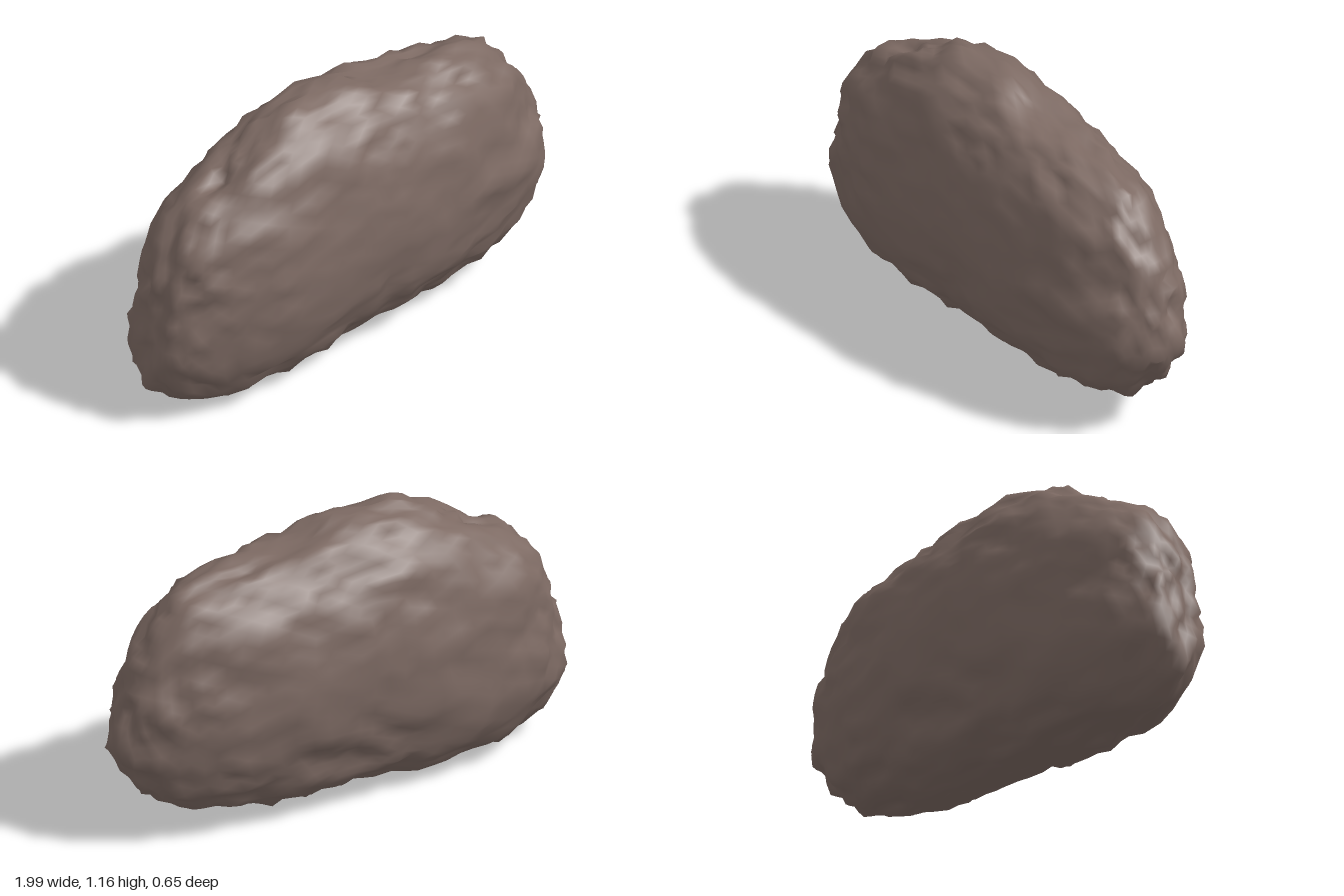
import * as THREE from 'three';
import { mergeVertices } from 'three/addons/utils/BufferGeometryUtils.js';

const CENTRE_Y = 0.57;
const HALF_DEPTH = 0.325;
const ASPECT = 0.58;

// Outline of the boulder in the x-y plane, anticlockwise from its left end
const OUTLINE = [
  [1, 0.42], [0.94, 0.6], [0.92, 0.75], [0.82, 0.89], [0.71, 1.02], [0.6, 1.06],
  [0.4, 1.07], [0.3, 1.1], [0.07, 1.12], [0, 1.175], [-0.2, 1.17], [-0.33, 1.165],
  [-0.5, 1.06], [-0.62, 0.96], [-0.75, 0.94], [-0.88, 0.8], [-0.93, 0.64], [-0.95, 0.5],
  [-0.97, 0.38], [-1, 0.24], [-0.93, 0.13], [-0.8, 0.06], [-0.66, 0.06], [-0.5, 0.01],
  [-0.3, 0.04], [-0.02, 0.06], [0.12, 0.04], [0.3, 0.06], [0.47, 0.06], [0.65, 0.1],
  [0.86, 0.19], [0.92, 0.28],
].map(([x, y]) => new THREE.Vector2(x, y - CENTRE_Y));

// Point where a ray from the centre meets the outline
function outlineAt(angle) {
  const dx = Math.cos(angle), dy = Math.sin(angle) * ASPECT;
  for (let i = 0; i < OUTLINE.length; i++) {
    const a = OUTLINE[i], b = OUTLINE[(i + 1) % OUTLINE.length];
    const ca = a.x * dy - a.y * dx, cb = b.x * dy - b.y * dx;
    if (ca >= 0 && cb <= 0 && ca !== cb && a.x * dx + a.y * dy > 0) {
      return a.clone().lerp(b, ca / (ca - cb));
    }
  }
  return OUTLINE[0].clone();
}

// The same outline with its local lumps averaged away
function softOutlineAt(angle) {
  const sum = new THREE.Vector2();
  for (let i = -3; i <= 3; i++) {
    const r = outlineAt(angle + i * 0.09);
    sum.x += Math.hypot(r.x, r.y / ASPECT) / 7;
  }
  return new THREE.Vector2(Math.cos(angle), Math.sin(angle) * ASPECT).multiplyScalar(sum.x);
}

// Smooth value noise on a seeded lattice, from -1 to 1
function hash(x, y, z) {
  const s = Math.sin(x * 127.1 + y * 311.7 + z * 74.7) * 43758.5453;
  return (s - Math.floor(s)) * 2 - 1;
}
function noise(x, y, z) {
  const ix = Math.floor(x), iy = Math.floor(y), iz = Math.floor(z);
  const fade = (t) => t * t * (3 - 2 * t);
  const u = fade(x - ix), v = fade(y - iy), w = fade(z - iz);
  let sum = 0;
  for (let i = 0; i < 8; i++) {
    const a = i & 1, b = (i >> 1) & 1, c = i >> 2;
    sum += hash(ix + a, iy + b, iz + c) * (a ? u : 1 - u) * (b ? v : 1 - v) * (c ? w : 1 - w);
  }
  return sum;
}

function boulderGeometry() {
  let geometry = new THREE.IcosahedronGeometry(1, 15);
  geometry.deleteAttribute('uv');
  geometry.deleteAttribute('normal');
  geometry = mergeVertices(geometry, 1e-4);
  const position = geometry.attributes.position;
  const d = new THREE.Vector3(), p = new THREE.Vector3(), n = new THREE.Vector3();

  for (let i = 0; i < position.count; i++) {
    d.fromBufferAttribute(position, i).normalize();
    const s = Math.hypot(d.x, d.y), side = Math.abs(d.z);
    const angle = Math.atan2(d.y, d.x), c = Math.cos(angle);
    // Blunt at the right end, rounder over the top, bottom and left end
    const power = 2.1 + c * c * (c < 0 ? 0.5 : 0.15);
    const k = Math.pow(Math.pow(s, power) + Math.pow(side, power), -1 / power);
    // Lumps of the outline fade away from the middle plane
    const edge = outlineAt(angle).lerp(softOutlineAt(angle), Math.min(1, side * 2.5));
    p.set(edge.x * s * k, edge.y * s * k, HALF_DEPTH * d.z * k);
    // Roughen along the approximate normal, more strongly around the rim
    n.set(p.x, p.y / 0.31, p.z / 0.11).normalize();
    const rough = 0.012 * noise(p.x * 4 + 9, p.y * 7, p.z * 7)
      + (0.012 + 0.018 * s * s) * noise(p.x * 15, p.y * 20 + 5, p.z * 20) - 0.007;
    p.addScaledVector(n, rough);
    position.setXYZ(i, p.x, p.y, p.z);
  }

  // Stand the boulder on the ground
  geometry.center();
  geometry.computeBoundingBox();
  geometry.translate(0, -geometry.boundingBox.min.y, 0);
  geometry.computeVertexNormals();
  return geometry;
}

export function createModel() {
  const group = new THREE.Group();
  group.name = 'rock';
  const stone = new THREE.MeshStandardMaterial({ color: 0x7d6a63 });
  stone.name = 'brown stone';
  const boulder = new THREE.Mesh(boulderGeometry(), stone);
  boulder.name = 'boulder';
  group.add(boulder);
  return group;
}
